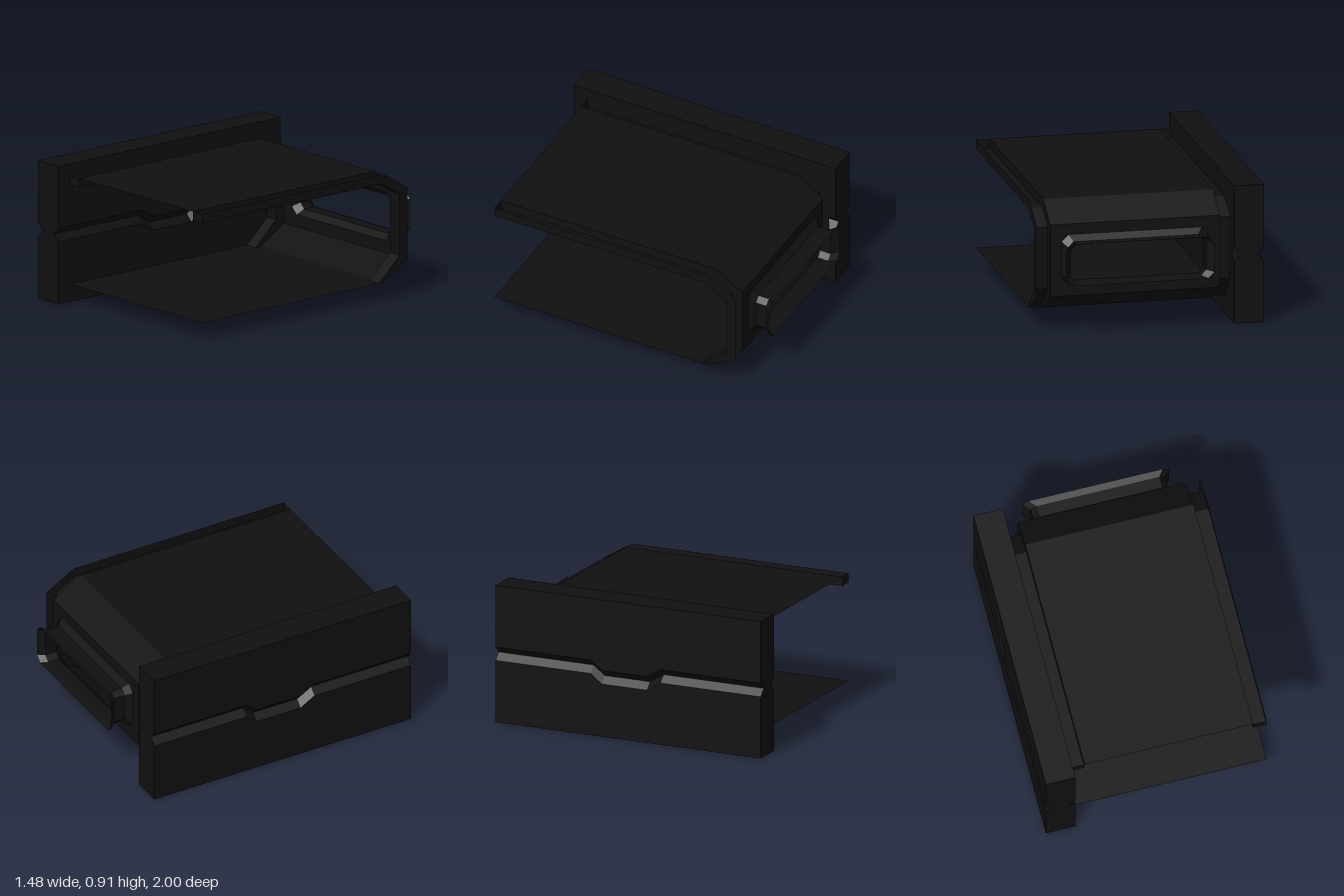
import * as THREE from 'three';

const material = new THREE.MeshStandardMaterial({ color: 0x101010, flatShading: true, side: THREE.DoubleSide });

// Skin a row of cross-sections (arrays of [x, y, z]) with flat quads.
function loft(rings, closed) {
  const pos = [];
  for (let i = 0; i < rings.length - 1; i++) {
    const a = rings[i], b = rings[i + 1], n = a.length;
    for (let j = 0; j < (closed ? n : n - 1); j++) {
      const k = (j + 1) % n;
      pos.push(...a[j], ...a[k], ...b[k], ...a[j], ...b[k], ...b[j]);
    }
  }
  const g = new THREE.BufferGeometry();
  g.setAttribute('position', new THREE.Float32BufferAttribute(pos, 3));
  g.computeVertexNormals();
  return g;
}

const shapeOf = pts => new THREE.Shape(pts.map(p => new THREE.Vector2(...p)));

// Sheet following a [z, y] profile between two x positions.
const sheet = (profile, x0, x1) =>
  loft([x1, x0].map(x => profile.map(([z, y]) => [x, y, z])), false);

// Octagonal outline: rectangle with cut corners.
function octagon(x0, x1, y0, y1, c) {
  return [[x0 + c, y0], [x1 - c, y0], [x1, y0 + c], [x1, y1 - c],
    [x1 - c, y1], [x0 + c, y1], [x0, y1 - c], [x0, y0 + c]];
}

export function createModel() {
  const group = new THREE.Group();
  const add = (name, geometry) => {
    const mesh = new THREE.Mesh(geometry, material);
    mesh.name = name;
    group.add(mesh);
    return mesh;
  };

  // Thick side wall, with a V groove on both faces that dips in the middle
  const section = d => [[-0.74, 0], [-0.545, 0], [-0.545, 0.41 + d], [-0.59, 0.455 + d], [-0.545, 0.5 + d],
    [-0.545, 0.91], [-0.74, 0.91], [-0.74, 0.5 + d], [-0.695, 0.455 + d], [-0.74, 0.41 + d]];
  const stations = [[-0.885, 0], [-0.21, 0], [-0.13, -0.06], [0.19, -0.06], [0.29, 0], [1, 0]];
  add('sideWall', loft(stations.map(([z, d]) => section(d).map(([x, y]) => [x, y, z])), true));
  add('sideWallFrontEnd', new THREE.ShapeGeometry(shapeOf(section(0))).translate(0, 0, 1));
  add('sideWallBackEnd', new THREE.ShapeGeometry(shapeOf(section(0))).rotateY(Math.PI).scale(-1, 1, 1)
    .translate(0, 0, -0.885));

  // Roof and floor sheets, bending toward the back wall
  const xl = -0.46, xr = 0.65;
  const roof = [[0.9, 0.83], [-0.64, 0.83], [-0.84, 0.71]];
  const floor = [[-0.84, 0.235], [-0.64, 0.115]];
  add('roof', sheet(roof, xl, xr));
  add('floorSlope', sheet(floor, xl, xr));
  add('floor', sheet([[-0.64, 0.115], [0.9, 0.115]], -0.545, 0.74));

  // Inward-standing ribs at both ends, with side faces and a front lip
  const inner = [[0.9, 0.77], [-0.61, 0.77], [-0.77, 0.68], [-0.77, 0.27], [-0.6, 0.115]];
  const ribSide = shapeOf([...roof, ...floor, ...inner.slice().reverse()]);
  for (const [side, x0, x1] of [['right', -0.545, xl], ['left', xr, 0.74]]) {
    add(side + 'Rib', sheet(inner, x0, x1));
    add(side + 'RibLip', new THREE.PlaneGeometry(x1 - x0, 0.06).translate((x0 + x1) / 2, 0.8, 0.9));
    for (const x of [x0, x1])
      add(side + 'RibSide', new THREE.ShapeGeometry(ribSide).rotateY(-Math.PI / 2).translate(x, 0, 0));
  }

  // Back wall with window opening
  const back = shapeOf([[xl, 0.235], [xr, 0.235], [xr, 0.71], [xl, 0.71]]);
  const opening = octagon(-0.385, 0.575, 0.315, 0.64, 0.045);
  back.holes.push(new THREE.Path(opening.map(p => new THREE.Vector2(...p))));
  add('backWall', new THREE.ShapeGeometry(back).translate(0, 0, -0.84));

  // Window sleeve, narrow in the middle and flared at its outer end
  const neck = octagon(-0.345, 0.54, 0.352, 0.602, 0.035);
  const flare = octagon(-0.39, 0.58, 0.34, 0.615, 0.04);
  const rings = [[opening, -0.84], [neck, -0.88], [neck, -0.957], [flare, -1]];
  add('windowSleeve', loft(rings.map(([o, z]) => o.map(([x, y]) => [x, y, z])), true));

  return group;
}
